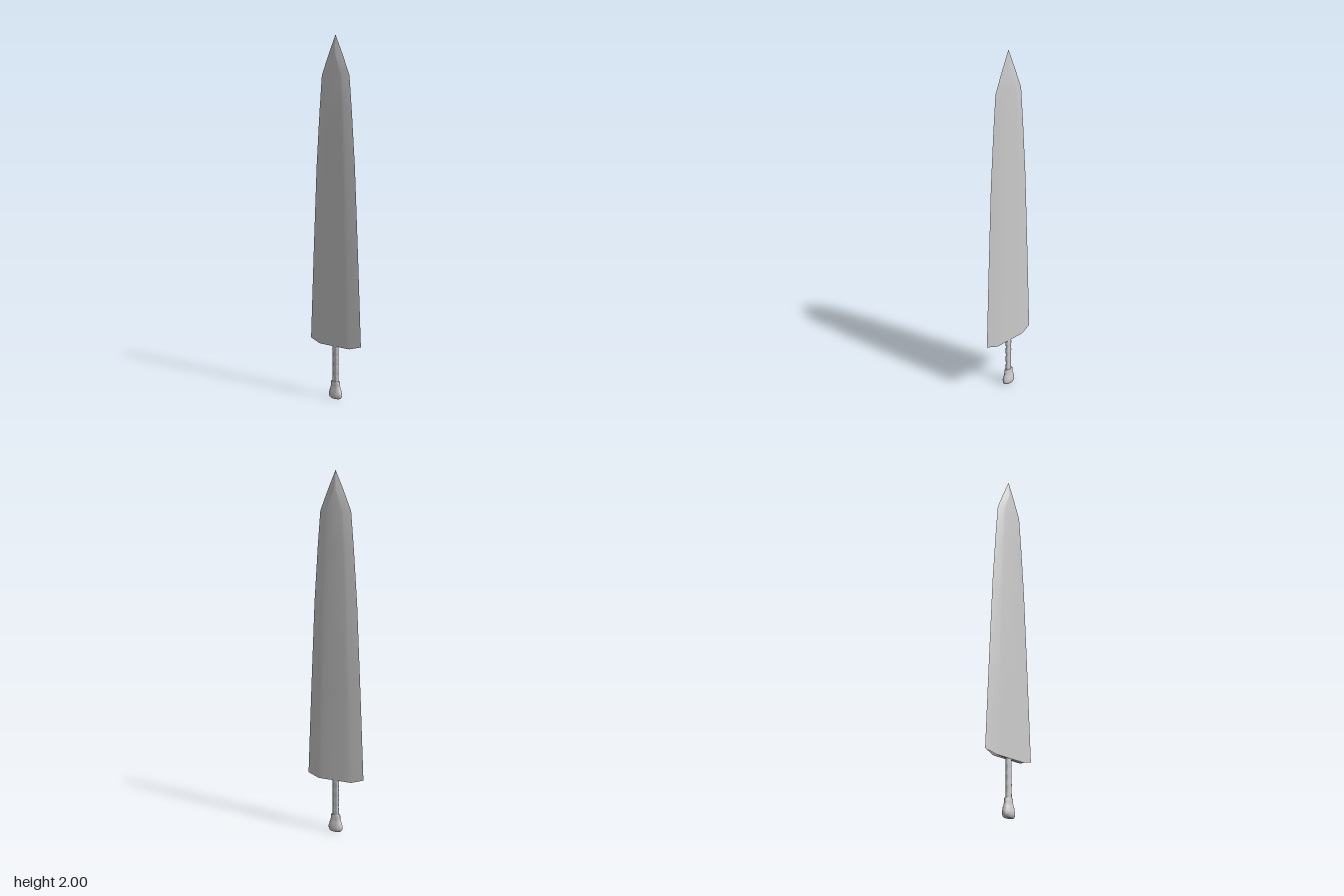
import * as THREE from 'three';
import { toCreasedNormals } from 'three/addons/utils/BufferGeometryUtils.js';

const steel = new THREE.MeshStandardMaterial({ color: 0xcccccc });

function add(parent, geometry, name) {
  const mesh = new THREE.Mesh(geometry, steel);
  mesh.name = name;
  parent.add(mesh);
  return mesh;
}

// Blade lofted through cross-sections: [y, half width, half width of the flat, half thickness]
function bladeGeometry() {
  const sections = [
    [0.325, 0.17, 0.09, 0.013], [0.8, 0.15, 0.08, 0.013], [1.3, 0.127, 0.067, 0.013],
    [1.6, 0.106, 0.056, 0.013], [1.79, 0.09, 0.045, 0.013], [1.9, 0.045, 0.004, 0.012],
    [2.0, 0.0005, 0.0002, 0.0003],
  ];
  const pos = [], index = [];
  sections.forEach(([y, w, f, t], i) => {
    const m = f + (w - f) * 0.15;
    const loop = [[w, 0], [m, -t * 0.88], [f * 0.88, -t], [-f * 0.88, -t], [-m, -t * 0.88],
      [-w, 0], [-m, t * 0.88], [-f * 0.88, t], [f * 0.88, t], [m, t * 0.88]];
    // The lower end dips towards the middle
    for (const [x, z] of loop) pos.push(x, i === 0 && Math.abs(x) < w ? 0.305 : y, z);
  });
  const n = 10, last = (sections.length - 1) * n;
  for (let i = 0; i < sections.length - 1; i++) {
    for (let j = 0; j < n; j++) {
      const a = i * n + j, b = i * n + (j + 1) % n;
      index.push(a, b, b + n, a, b + n, a + n);
    }
  }
  // End caps
  for (let j = 1; j < n - 1; j++) {
    index.push(1, 1 + (j + 1) % n, 1 + j);
    index.push(last, last + j, last + j + 1);
  }
  const g = new THREE.BufferGeometry();
  g.setAttribute('position', new THREE.Float32BufferAttribute(pos, 3));
  g.setIndex(index);
  return toCreasedNormals(g, 0.35);
}

// Half-round plate or arch, extruded forward with a rounded rim
function archGeometry(outer, inner, depth, bevel) {
  const R = outer - bevel, r = inner + bevel;
  const shape = new THREE.Shape();
  shape.moveTo(R, 0);
  shape.lineTo(R, 0.012);
  shape.absarc(0, 0.012, R - 0.008 * (R / 0.09), 0, Math.PI, false);
  shape.lineTo(-R, 0);
  if (inner > 0) {
    shape.lineTo(-r, 0);
    shape.absarc(0, 0.008, r, Math.PI, 0, true);
    shape.lineTo(r, 0);
  }
  shape.closePath();
  const g = new THREE.ExtrudeGeometry(shape, {
    depth: depth - bevel, bevelEnabled: true, bevelSize: bevel,
    bevelThickness: bevel, bevelSegments: 3, curveSegments: 24,
  });
  return toCreasedNormals(g, 0.7);
}

// Turned part, flattened front to back
function turned(points, flatten) {
  const g = new THREE.LatheGeometry(points.map(([r, y]) => new THREE.Vector2(r, y)), 24);
  return toCreasedNormals(g.scale(1, 1, flatten), 0.7);
}

export function createModel() {
  const model = new THREE.Group();
  model.name = 'sword';

  add(model, bladeGeometry(), 'blade');

  // Guard fittings on both faces of the blade
  for (const back of [false, true]) {
    const guard = new THREE.Group();
    guard.name = back ? 'backGuard' : 'frontGuard';
    guard.rotation.y = back ? Math.PI : 0;
    add(guard, archGeometry(0.088, 0.06, 0.013, 0.004), 'guardArch').position.set(0, 0.308, 0.01);
    add(guard, archGeometry(0.055, 0, 0.009, 0.003), 'guardPlate').position.set(0, 0.308, 0.01);
    const rivet = add(guard, new THREE.SphereGeometry(0.01, 16, 10), 'rivet');
    rivet.position.set(0, 0.33, 0.02);
  }

  // Grip with shallow swellings
  const grip = [[0.019, 0.085]];
  for (let i = 0; i <= 24; i++) {
    grip.push([0.0185 + 0.0015 * Math.abs(Math.sin(i * Math.PI / 6)), 0.09 + i * 0.0092]);
  }
  grip.push([0, 0.311]);
  add(model, turned(grip, 0.58), 'grip');

  // Stepped pommel
  add(model, turned([
    [0, 0], [0.03, 0.002], [0.038, 0.008], [0.042, 0.018], [0.042, 0.034], [0.038, 0.042],
    [0.037, 0.054], [0.033, 0.06], [0.029, 0.078], [0.029, 0.096], [0.026, 0.101], [0, 0.102],
  ], 0.52), 'pommel');

  return model;
}
